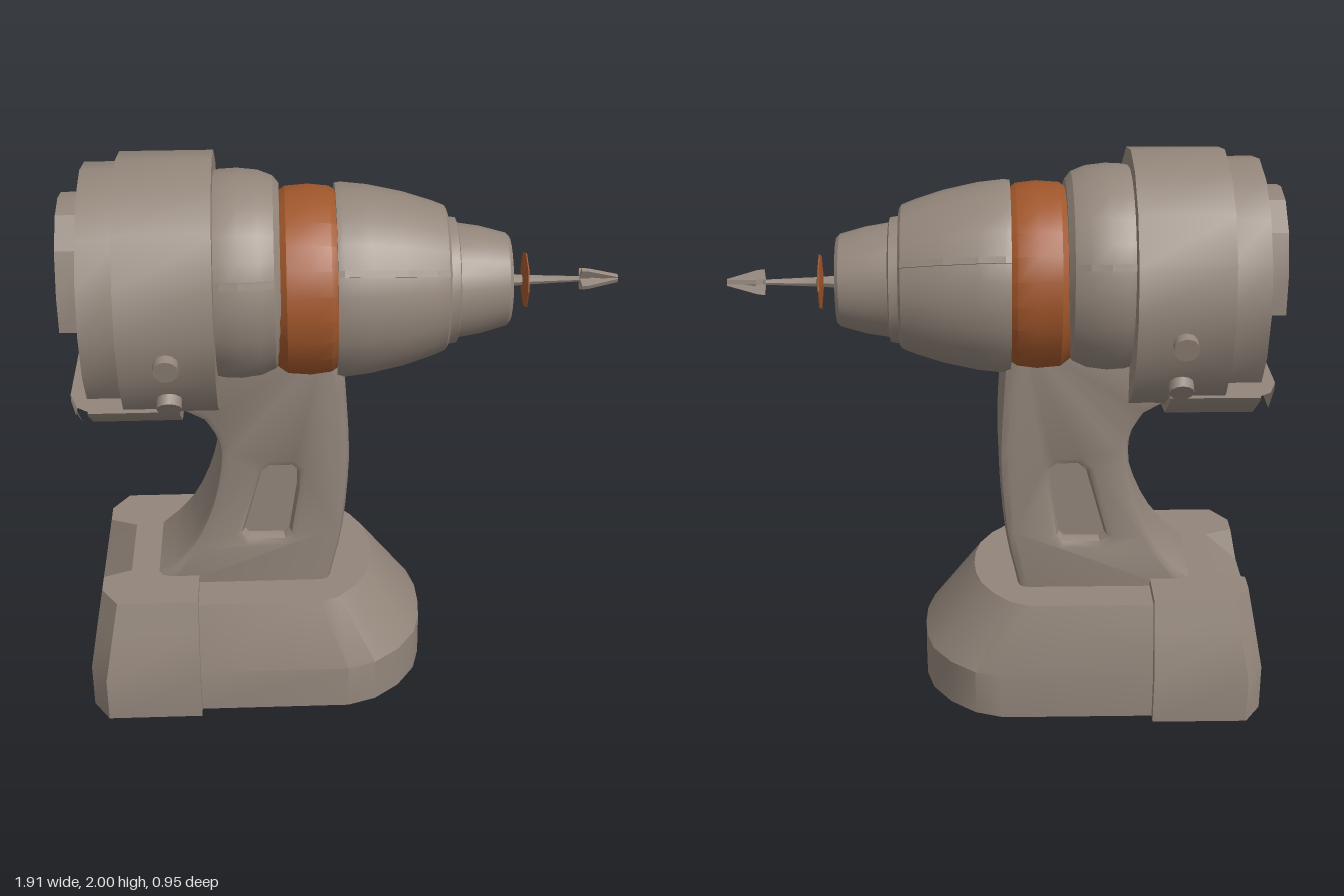
import * as THREE from 'three';
import { toCreasedNormals } from 'three/addons/utils/BufferGeometryUtils.js';

const body = new THREE.MeshStandardMaterial({ color: 0x93867b });
body.name = 'warm grey';
const accent = new THREE.MeshStandardMaterial({ color: 0xa0562b });
accent.name = 'burnt orange';

const v2 = (pts) => pts.map(([a, b]) => new THREE.Vector2(a, b));
const mirror = (pts) => [...pts, ...pts.slice().reverse().filter((p) => p[0] !== 0).map(([a, b]) => [-a, b])];
const spline = (pts, n) => new THREE.SplineCurve(v2(pts)).getPoints(n).map((p) => [p.x, p.y]);

export function createModel() {
  const model = new THREE.Group();
  const add = (name, geo, mat = body, parent = model) => {
    const mesh = new THREE.Mesh(geo, mat);
    mesh.name = name;
    parent.add(mesh);
    return mesh;
  };

  // Solid of revolution around the x axis, profile given as [x, radius]
  const turned = (profile, cy, sides = 24) => {
    const g = new THREE.LatheGeometry(v2(profile.map(([x, r]) => [r, x])), sides);
    g.rotateZ(-Math.PI / 2).translate(0, cy, 0);
    return toCreasedNormals(g, 0.5);
  };

  // Outline in z, y pushed along x
  const alongX = (outline, x0, x1, hole) => {
    const shape = new THREE.Shape(v2(outline));
    if (hole) shape.holes.push(new THREE.Path(v2(hole)));
    const g = new THREE.ExtrudeGeometry(shape, { depth: x1 - x0, bevelEnabled: false });
    g.rotateY(Math.PI / 2).translate(x0, 0, 0);
    return toCreasedNormals(g, 0.5);
  };

  // Stack of matching outlines [x, -z], bottom to top, with both ends capped
  const loft = (rings, ys) => {
    const pos = [];
    const put = (k, i) => pos.push(rings[k][i][0], ys[k], -rings[k][i][1]);
    const n = rings[0].length;
    for (let k = 0; k < rings.length - 1; k++) {
      for (let i = 0; i < n; i++) {
        const j = (i + 1) % n;
        put(k, i); put(k, j); put(k + 1, j);
        put(k, i); put(k + 1, j); put(k + 1, i);
      }
    }
    const top = rings.length - 1;
    for (const [a, b, c] of THREE.ShapeUtils.triangulateShape(v2(rings[top]), [])) {
      put(top, a); put(top, b); put(top, c);
    }
    for (const [a, b, c] of THREE.ShapeUtils.triangulateShape(v2(rings[0]), [])) {
      put(0, a); put(0, c); put(0, b);
    }
    const g = new THREE.BufferGeometry();
    g.setAttribute('position', new THREE.Float32BufferAttribute(pos, 3));
    return toCreasedNormals(g, 0.5);
  };

  // Battery base: rounded front block
  const frontRing = (half) => [...half, ...half.slice().reverse().filter((p) => p[1] !== 0).map(([x, s]) => [x, -s])];
  const low = frontRing([[-0.56, -0.41], [0, -0.41], [0.1, -0.375], [0.19, -0.3], [0.255, -0.2], [0.28, -0.1], [0.285, 0]]);
  const high = frontRing([[-0.56, -0.335], [-0.1, -0.335], [-0.03, -0.305], [0.03, -0.24], [0.075, -0.16], [0.095, -0.08], [0.1, 0]]);
  add('batteryFront', loft([low, low, high], [0, 0.17, 0.42]));

  // Battery base: wider rear block with a latch notch in its back edge
  const rearRing = (w, xb, cut, notch) => {
    const half = [[-0.54, w], [xb + 0.06, w], [xb, w - 0.09], [xb, 0.19], [xb + notch, 0.19 - cut]];
    return [...half, ...half.slice().reverse().map(([x, s]) => [x, -s])];
  };
  add('batteryRear', loft(
    [rearRing(0.45, -0.94, 0.04, 0), rearRing(0.45, -0.94, 0.04, 0), rearRing(0.396, -0.91, 0.04, 0), rearRing(0.36, -0.89, 0.04, 0.1)],
    [0, 0.17, 0.34, 0.45]));

  // Handle with chamfered edges and a recessed panel on each side
  const grip = [
    ...spline([[-0.07, 0.36], [-0.055, 0.44], [-0.015, 0.62], [0.008, 0.85], [0.01, 1.02], [-0.005, 1.28]], 12),
    [-0.05, 1.42], [-0.57, 1.42], [-0.57, 1.14],
    ...spline([[-0.5, 1.1], [-0.455, 1.02], [-0.45, 0.92], [-0.485, 0.75], [-0.55, 0.6], [-0.63, 0.5]], 12),
    [-0.7, 0.44], [-0.7, 0.36],
  ];
  const panel = [[-0.35, 0.61], [-0.225, 0.61], [-0.205, 0.63], [-0.175, 0.82], [-0.175, 0.885], [-0.195, 0.905], [-0.27, 0.905], [-0.3, 0.88], [-0.37, 0.63]];
  const gripShape = new THREE.Shape(v2(grip));
  gripShape.holes.push(new THREE.Path(v2(panel)));
  const gripGeo = new THREE.ExtrudeGeometry(gripShape, {
    depth: 0.32, bevelThickness: 0.035, bevelSize: 0.03, bevelOffset: -0.03, bevelSegments: 2,
  });
  gripGeo.translate(0, 0, -0.16);
  add('handle', toCreasedNormals(gripGeo, 0.5));
  const panelGeo = new THREE.ExtrudeGeometry(new THREE.Shape(v2(panel)), { depth: 0.3, bevelEnabled: false });
  add('handlePanel', panelGeo.translate(0, 0, -0.15));

  // Motor housing: sixteen-sided drum, flat-bottomed back disc and lower lip
  const drum = (r) => Array.from({ length: 16 }, (_, i) => {
    const a = (i * Math.PI) / 8;
    return [r * Math.sin(a), 1.55 + r * Math.cos(a)];
  });
  add('motorHousing', alongX(drum(0.45), -0.76, -0.44));
  const disc = mirror([[0, 1.967], [0.159, 1.935], [0.295, 1.845], [0.385, 1.71], [0.417, 1.55], [0.385, 1.39], [0.31, 1.27]]);
  add('housingBack', alongX(disc, -0.88, -0.74));
  const lip = (inset) => [[0.325 - inset, 1.22], [0.31 - inset, 1.2], [0.18 - inset / 2, 1.105], [0, 1.08]];
  add('housingLip', alongX(mirror(lip(0)), -0.88, -0.57));
  // Tapered rear end of the lip
  const lipEnd = [[-0.87, -0.32], [-0.87, 0.32], [-0.92, 0.28], [-0.95, 0.19], [-0.95, -0.19], [-0.92, -0.28]].reverse();
  const lipBottom = [[-0.87, -0.17], [-0.87, 0.17], [-0.92, 0.15], [-0.95, 0.1], [-0.95, -0.1], [-0.92, -0.15]].reverse();
  add('lipEnd', loft([lipBottom, lipEnd, lipEnd], [1.085, 1.195, 1.22]));

  // Arched rear vent: frame and coloured window
  const arch = (k) => mirror([[0, 1.87], [0.1, 1.85], [0.2, 1.765], [0.25, 1.62], [0.25, 1.49]]
    .map(([z, y]) => [z * k, 1.66 + (y - 1.66) * k]));
  add('ventFrame', alongX(arch(1), -0.96, -0.87, arch(0.76)));
  add('ventWindow', alongX(arch(0.78), -0.889, -0.881), accent);

  // Side buttons, two per side
  for (const side of [1, -1]) {
    for (const a of [0.21, 0.64]) {
      const g = new THREE.CylinderGeometry(0.043, 0.043, 0.1, 12);
      g.translate(0, 0.428, 0).rotateX(side * (Math.PI / 2 + a)).translate(-0.6, 1.55, 0);
      add('sideButton', toCreasedNormals(g, 0.6));
    }
  }

  // Gear case, coloured collar and chuck
  const caseProfile = [[-0.46, 0], [-0.46, 0.35], [-0.42, 0.36], [-0.36, 0.363], [-0.29, 0.355], [-0.24, 0.335], [-0.22, 0.31], [-0.215, 0]];
  add('gearCase', turned(caseProfile, 1.58));
  add('collar', turned([[-0.24, 0], [-0.24, 0.3], [-0.2, 0.327], [-0.12, 0.333], [-0.05, 0.325], [-0.02, 0.305], [-0.02, 0]], 1.55), accent);
  const chuckProfile = [[-0.03, 0], [-0.03, 0.335], [-0.01, 0.338], [0.08, 0.328], [0.2, 0.302], [0.3, 0.27], [0.345, 0.252], [0.353, 0.24], [0.353, 0]];
  add('chuck', turned(chuckProfile, 1.55));
  add('chuckNose', turned([[0.34, 0], [0.34, 0.225], [0.385, 0.218], [0.39, 0.2], [0.47, 0.187], [0.56, 0.162], [0.572, 0.15], [0.572, 0]], 1.54));

  // Raised seams along the upper sides of the chuck and gear case
  const seam = (name, profile, cy, angle) => {
    const g = new THREE.ExtrudeGeometry(new THREE.Shape(v2(profile.map(([x, r]) => [x, r && r + 0.008]))), { depth: 0.022, bevelEnabled: false });
    add(name, g.translate(0, 0, -0.011).rotateX(angle).translate(0, cy, 0));
  };
  for (const s of [1, -1]) {
    seam('chuckSeam', chuckProfile, 1.55, s * 1.08);
    seam('caseSeam', caseProfile, 1.58, s * 1.25);
  }

  // Bit: guard disc, tapered shaft and four-finned head
  add('guardDisc', turned([[0.617, 0], [0.625, 0.06], [0.629, 0.1], [0.633, 0.1], [0.637, 0.06], [0.645, 0]], 1.535, 8), accent);
  add('bitShaft', turned([[0.56, 0], [0.56, 0.024], [0.63, 0.018], [0.84, 0.009], [0.86, 0.016], [0.955, 0.006], [0.955, 0]], 1.535, 8));
  const fin = new THREE.Shape(v2([[0.82, 0], [0.825, 0.045], [0.85, 0.042], [0.955, 0.012], [0.955, 0]]));
  for (let i = 0; i < 4; i++) {
    const g = new THREE.ExtrudeGeometry(fin, { depth: 0.016, bevelEnabled: false });
    add('bitFin', g.translate(0, 0, -0.008).rotateX((i * Math.PI) / 2 + 0.35).translate(0, 1.535, 0));
  }

  return model;
}
